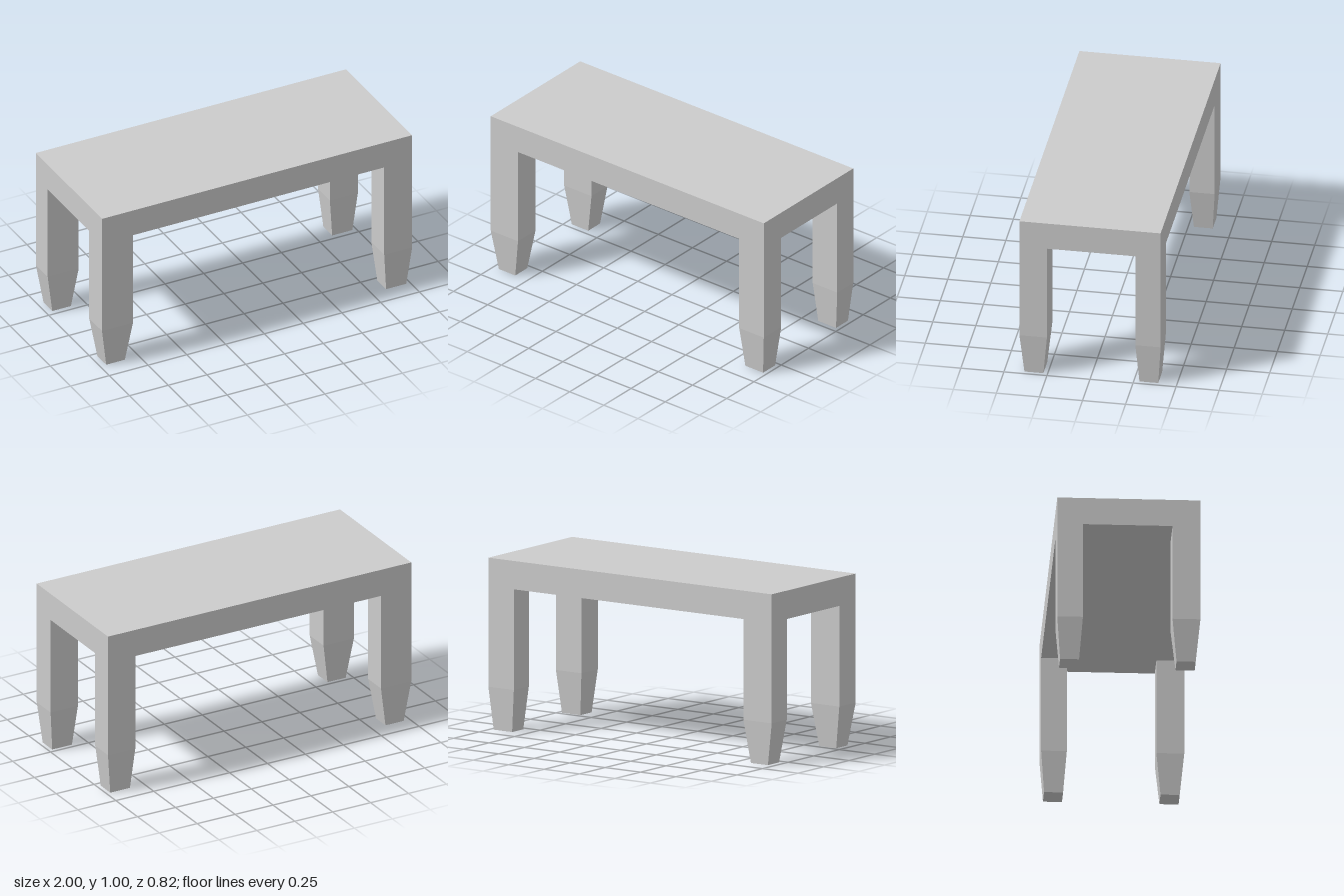
import * as THREE from 'three';

const TOP = 1, UNDER = 0.835, TAPER = 0.25;
const material = new THREE.MeshStandardMaterial({ color: 0xcccccc, flatShading: true });

// Square post whose lowest section narrows to a smaller foot.
// x and z are [min, max] ranges of the post; footX and footZ those of the foot.
function makeLeg(x, z, footX, footZ) {
  const geometry = new THREE.BoxGeometry(1, 2, 1, 1, 2, 1);
  const p = geometry.attributes.position;
  for (let i = 0; i < p.count; i++) {
    const level = Math.round(p.getY(i)) + 1; // 0 foot, 1 taper start, 2 top
    const rangeX = level === 0 ? footX : x;
    const rangeZ = level === 0 ? footZ : z;
    p.setXYZ(i,
      rangeX[p.getX(i) > 0 ? 1 : 0],
      [0, TAPER, UNDER][level],
      rangeZ[p.getZ(i) > 0 ? 1 : 0]);
  }
  geometry.computeVertexNormals();
  return new THREE.Mesh(geometry, material);
}

export function createModel() {
  const model = new THREE.Group();
  model.name = 'table';

  // Thick slab top
  const top = new THREE.Mesh(new THREE.BoxGeometry(2, TOP - UNDER, 0.82), material);
  top.position.y = (TOP + UNDER) / 2;
  top.name = 'tableTop';
  model.add(top);

  // Four corner legs, slightly uneven from side to side
  const sides = [
    { name: 'Right', x: [-1, -0.8], foot: [-0.96, -0.84] },
    { name: 'Left', x: [0.82, 1], foot: [0.845, 0.975] },
  ];
  const ends = [
    { name: 'front', z: [0.25, 0.41], foot: [0.275, 0.385] },
    { name: 'back', z: [-0.41, -0.263], foot: [-0.392, -0.283] },
  ];
  for (const side of sides) {
    for (const end of ends) {
      const leg = makeLeg(side.x, end.z, side.foot, end.foot);
      leg.name = `${end.name}${side.name}Leg`;
      model.add(leg);
    }
  }
  return model;
}
